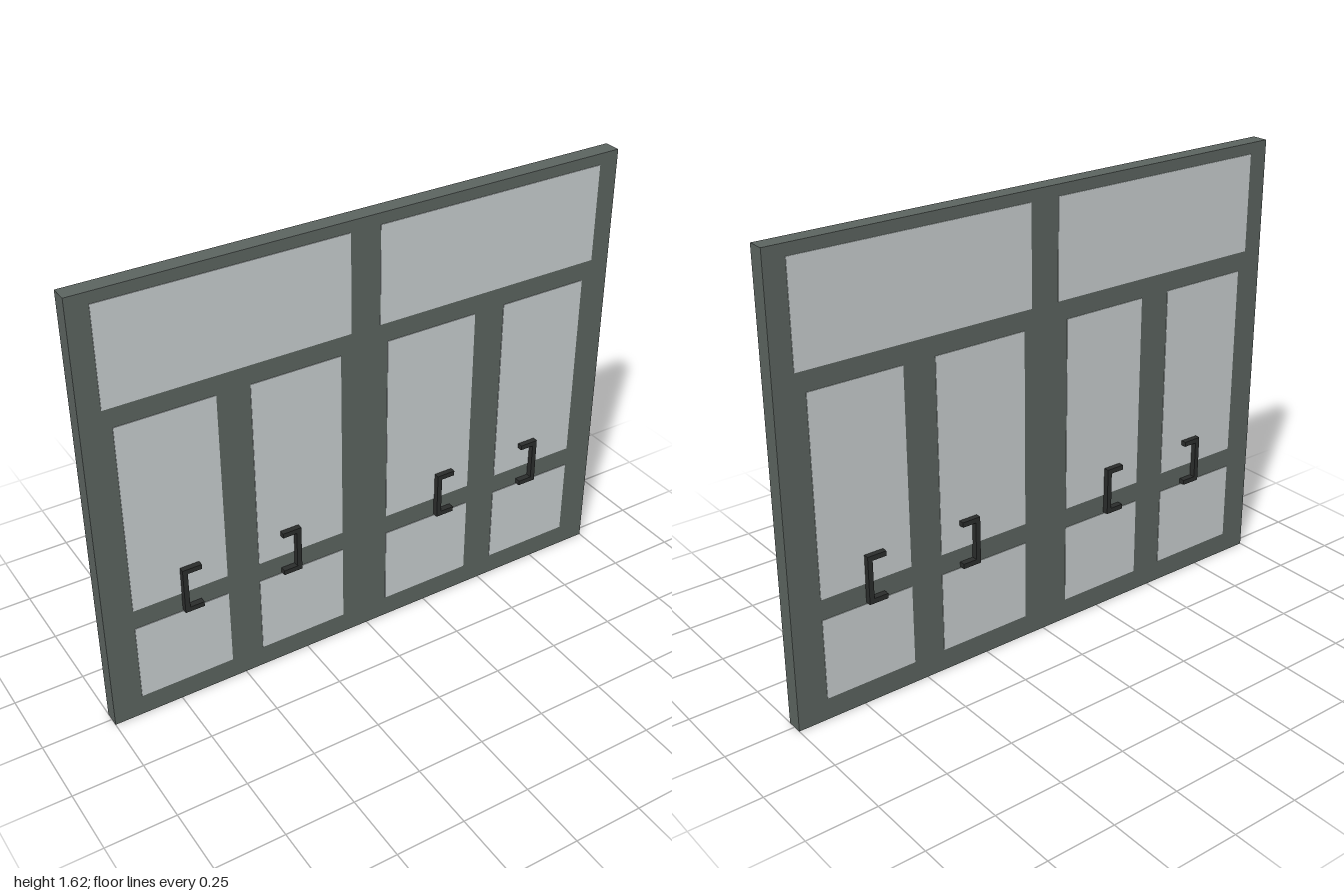
import * as THREE from 'three';

const W = 2, H = 1.625;
const FRAME_Z = 0.03, GLASS_Z = 0.032, HANDLE_Z = 0.052;

const mat = (color) => new THREE.MeshStandardMaterial({ color });

// Axis-aligned box given by its limits
function box(name, material, x0, x1, y0, y1, z0, z1) {
  const mesh = new THREE.Mesh(new THREE.BoxGeometry(x1 - x0, y1 - y0, z1 - z0), material);
  mesh.position.set((x0 + x1) / 2, (y0 + y1) / 2, (z0 + z1) / 2);
  mesh.name = name;
  return mesh;
}

function rectPath(path, x0, x1, y0, y1) {
  path.moveTo(x0, y0);
  path.lineTo(x1, y0);
  path.lineTo(x1, y1);
  path.lineTo(x0, y1);
  path.closePath();
  return path;
}

export function createModel() {
  const model = new THREE.Group();
  model.name = 'glazedDoorWall';
  const frameMat = mat(0x5c6460), glassMat = mat(0xc8cecf), handleMat = mat(0x2b2d2c);

  // Openings: two transom lights, then a tall and a short pane per door
  const panes = [[-0.925, -0.06], [0.05, 0.925]].map(([a, b]) => [a, b, 1.23, 1.585]);
  for (const [a, b] of [[-0.895, -0.55], [-0.43, -0.10], [0.08, 0.43], [0.55, 0.89]]) {
    panes.push([a, b, 0.45, 1.16], [a, b, 0.08, 0.375]);
  }

  // Frame: one slab with the openings cut out
  const outline = rectPath(new THREE.Shape(), -W / 2, W / 2, 0, H);
  outline.holes = panes.map((p) => rectPath(new THREE.Path(), ...p));
  const frameGeo = new THREE.ExtrudeGeometry(outline, { depth: 2 * FRAME_Z, bevelEnabled: false });
  frameGeo.translate(0, 0, -FRAME_Z);
  const frame = new THREE.Mesh(frameGeo, frameMat);
  frame.name = 'frame';
  model.add(frame);

  // Glass stands slightly proud of the frame on both faces
  for (const p of panes) model.add(box('glassPane', glassMat, ...p, -GLASS_Z, GLASS_Z));

  // C-shaped pulls on both faces; dir is the way the arms point from the grip
  for (const [x, dir] of [[-0.72, 1], [-0.275, -1], [0.285, 1], [0.725, -1]]) {
    for (const side of [1, -1]) {
      const handle = new THREE.Group();
      handle.name = 'pullHandle';
      const span = (a, b) => (dir > 0 ? [x + a, x + b] : [x - b, x - a]);
      const depth = side > 0 ? [FRAME_Z, HANDLE_Z] : [-HANDLE_Z, -FRAME_Z];
      handle.add(
        box('grip', handleMat, ...span(0, 0.018), 0.38, 0.555, ...depth),
        box('upperArm', handleMat, ...span(0.018, 0.07), 0.537, 0.555, ...depth),
        box('lowerArm', handleMat, ...span(0.018, 0.07), 0.38, 0.398, ...depth),
      );
      model.add(handle);
    }
  }
  return model;
}
